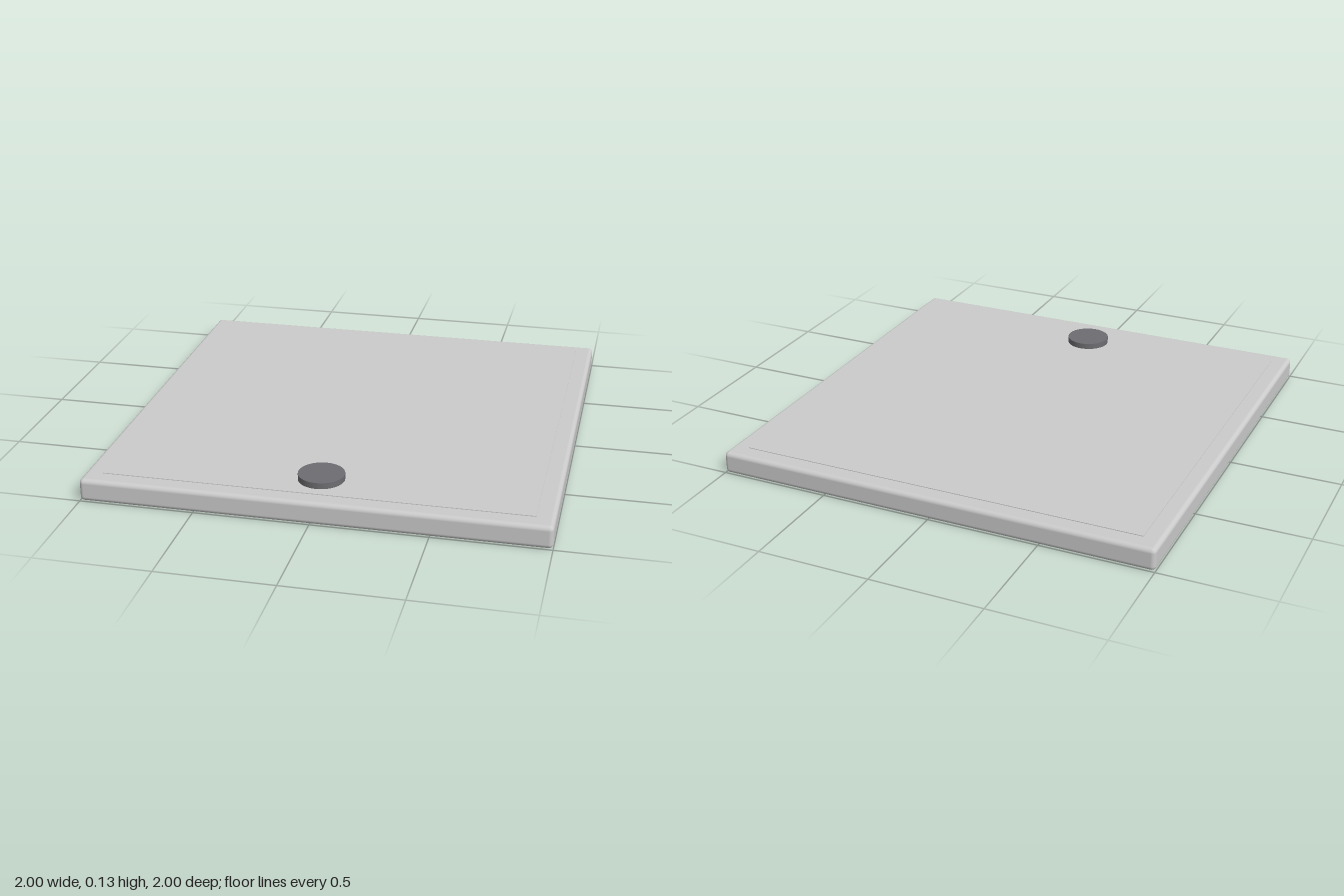
import * as THREE from 'three';
import { RoundedBoxGeometry } from 'three/addons/geometries/RoundedBoxGeometry.js';

export function createModel() {
  const model = new THREE.Group();
  const grey = new THREE.MeshStandardMaterial({ color: 0xcccccc });
  const dark = new THREE.MeshStandardMaterial({ color: 0x6e6e72 });

  const add = (name, geometry, material, x, y, z) => {
    const mesh = new THREE.Mesh(geometry, material);
    mesh.name = name;
    mesh.position.set(x, y, z);
    model.add(mesh);
  };

  // Square slab with softly rounded edges
  add('base', new RoundedBoxGeometry(2, 0.1, 2, 4, 0.02), grey, 0, 0.05, 0);

  // Thin plate standing just proud of the slab
  add('topPlate', new THREE.BoxGeometry(1.84, 0.02, 1.84), grey, 0, 0.093, 0);

  // Round button near the front edge
  add('button', new THREE.CylinderGeometry(0.1, 0.1, 0.04, 48), dark, 0, 0.11, 0.775);

  return model;
}
